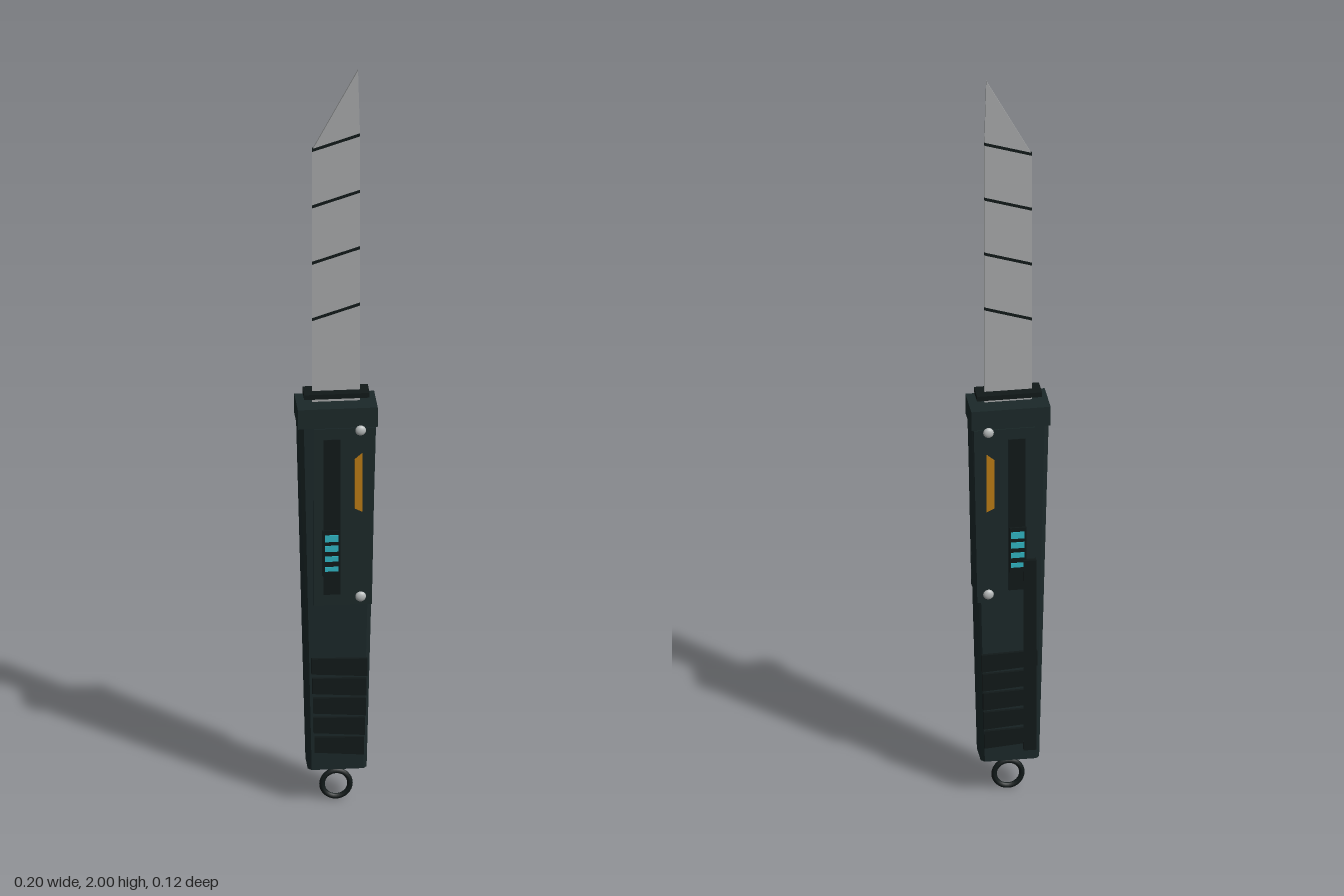
import * as THREE from 'three';

const mat = (name, color, extra = {}) =>
  Object.assign(new THREE.MeshStandardMaterial({ color, ...extra }), { name });

export function createModel() {
  const root = new THREE.Group();
  root.name = 'utilityKnife';

  const casing = mat('casing dark green', 0x1b2829);
  const rubber = mat('rubber black', 0x111919);
  const steel = mat('blade steel', 0xa6a8a9);
  const screwMetal = mat('screw metal', 0xb4b8b8);
  const teal = mat('teal', 0x2fb4c2);
  const amber = mat('amber', 0xb97a14);

  const add = (name, geo, material, x = 0, y = 0, z = 0, parent = root) => {
    const m = new THREE.Mesh(geo, material);
    m.name = name;
    m.position.set(x, y, z);
    parent.add(m);
    return m;
  };
  const box = (name, material, w, h, d, x, y, z) =>
    add(name, new THREE.BoxGeometry(w, h, d), material, x, y, z);
  // Flat outline in x,y, thickened evenly around z
  const plate = (name, material, pts, depth, z = 0) => {
    const shape = new THREE.Shape(pts.map(p => new THREE.Vector2(...p)));
    const g = new THREE.ExtrudeGeometry(shape, { depth, bevelEnabled: false });
    g.translate(0, 0, -depth / 2);
    return add(name, g, material, 0, 0, z);
  };

  // Blade with slanted tip, and its snap-off score lines
  plate('blade', steel, [[-0.06, 1.05], [0.06, 1.05], [0.06, 1.82], [0.055, 2], [-0.06, 1.785]], 0.006);
  for (let i = 0; i < 4; i++) {
    const y = 1.785 - i * 0.155;
    plate('scoreLine', rubber,
      [[-0.06, y - 0.004], [0.06, y + 0.034], [0.06, y + 0.042], [-0.06, y + 0.004]], 0.008);
  }

  // Mouth plate and collar
  box('mouthPlate', rubber, 0.164, 0.013, 0.054, 0, 1.117, 0);
  box('collar', casing, 0.2, 0.053, 0.1, 0, 1.067, 0);

  // Handle: chamfered section, tapering towards the foot
  const w = 0.097, d = 0.049, c = 0.012;
  const section = new THREE.Shape([
    [-w + c, -d], [w - c, -d], [w, -d + c], [w, d - c],
    [w - c, d], [-w + c, d], [-w, d - c], [-w, -d + c],
  ].map(p => new THREE.Vector2(...p)));
  const handle = new THREE.ExtrudeGeometry(section, { depth: 0.945, bevelEnabled: false });
  handle.rotateX(-Math.PI / 2);
  handle.translate(0, 0.1, 0);
  const pos = handle.attributes.position;
  for (let i = 0; i < pos.count; i++) {
    const t = (1.045 - pos.getY(i)) / 0.945;
    pos.setX(i, pos.getX(i) * (1 - 0.24 * t));
    pos.setZ(i, pos.getZ(i) * (1 - 0.14 * t));
  }
  handle.computeVertexNormals();
  add('handle', handle, casing);

  // Details repeated on the front and back faces
  for (const s of [1, -1]) {
    plate('sidePanel', casing,
      [[-0.06, 0.555], [0.085, 0.555], [0.094, 1.04], [-0.06, 1.04]], 0.012, s * 0.046);
    box('sliderTrack', rubber, 0.042, 0.425, 0.003, -0.015, 0.798, s * 0.0525);
    box('slider', rubber, 0.042, 0.125, 0.006, -0.017, 0.7, s * 0.055);
    for (let i = 0; i < 4; i++)
      box('sliderRib', teal, 0.034, 0.018 - i * 0.002, 0.004, -0.016, 0.742 - i * 0.028, s * 0.0585);
    plate('amberInlay', amber,
      [[0.042, 0.82], [0.062, 0.81], [0.062, 0.972], [0.042, 0.955]], 0.004, s * 0.0525);
    for (const y of [1.033, 0.577]) {
      const g = new THREE.SphereGeometry(0.0135, 16, 10);
      g.scale(1, 1, 0.6);
      add('screw', g, screwMetal, 0.057, y, s * 0.052);
    }
    // Slanted grip ribs on the lower handle
    for (let i = 0; i < 5; i++) {
      const y = 0.385 - i * 0.054, h = 0.036;
      const l = -0.066 + i * 0.002, r = 0.074 - i * 0.002;
      plate('gripRib', rubber,
        [[l, y - h / 2], [r, y - h / 2 - 0.01], [r, y + h / 2 + 0.002], [l, y + h / 2 + 0.006]],
        0.012, s * (0.046 - i * 0.0004));
    }
  }

  // Pocket clip on the back
  box('clipStrip', rubber, 0.032, 0.535, 0.006, -0.046, 0.403, -0.061);
  box('clipMount', rubber, 0.032, 0.06, 0.02, -0.046, 0.64, -0.05);
  box('clipTip', rubber, 0.032, 0.02, 0.014, -0.046, 0.146, -0.055);

  // Lanyard ring
  add('lanyardRing', new THREE.TorusGeometry(0.035, 0.007, 10, 32), rubber, 0, 0.042, 0);

  return root;
}
